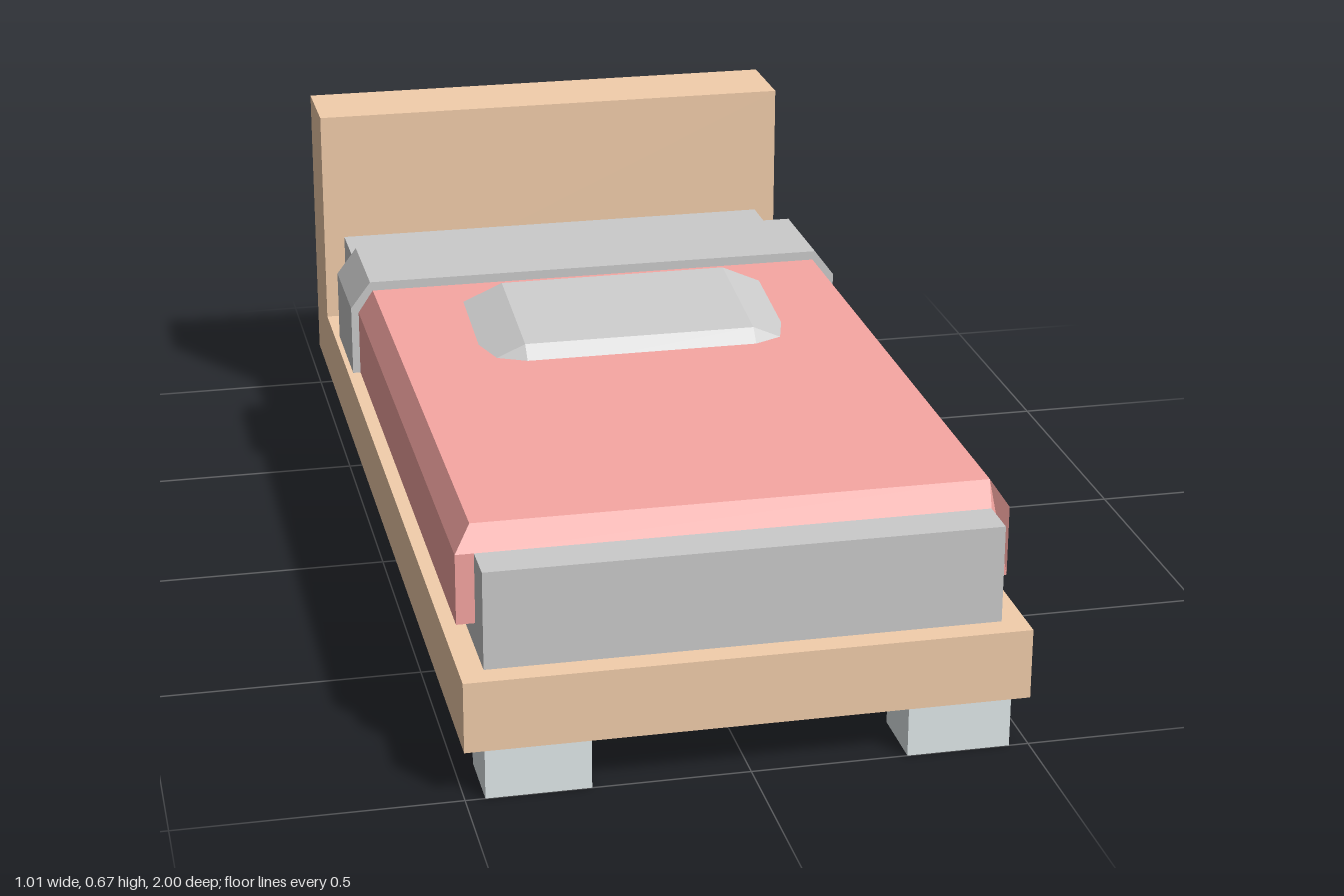
import * as THREE from 'three';
import { ConvexGeometry } from 'three/addons/geometries/ConvexGeometry.js';

const mat = (color) => new THREE.MeshStandardMaterial({ color, flatShading: true });
const wood = mat(0xf3ceab), red = mat(0xf8a7a3), metal = mat(0xe2ebec), grey = mat(0xcccccc);

const MATTRESS_W = 0.457, MATTRESS_TOP = 0.4;

function add(group, name, geometry, material) {
  const mesh = new THREE.Mesh(geometry, material);
  mesh.name = name;
  group.add(mesh);
  return mesh;
}

// Box given by its lower and upper corners
function boxBetween([x0, y0, z0], [x1, y1, z1]) {
  return new THREE.BoxGeometry(x1 - x0, y1 - y0, z1 - z0)
    .translate((x0 + x1) / 2, (y0 + y1) / 2, (z0 + z1) / 2);
}

function extrude(points, depth) {
  const shape = new THREE.Shape(points.map(([x, y]) => new THREE.Vector2(x, y)));
  return new THREE.ExtrudeGeometry(shape, { depth, bevelEnabled: false });
}

// Cover draped over the mattress, with chamfered upper edges
function drape(halfWidth, shoulderY, topHalf, topY, hemY, zBack, zFront) {
  const right = [[MATTRESS_W, MATTRESS_TOP], [MATTRESS_W, hemY], [halfWidth, hemY], [halfWidth, shoulderY], [topHalf, topY]];
  const left = right.map(([x, y]) => [-x, y]).reverse();
  return extrude([...right, ...left], zFront - zBack).translate(0, 0, zBack);
}

export function createModel() {
  const bed = new THREE.Group();
  bed.name = 'bed';

  // Base and headboard as one L-shaped side profile
  const frame = extrude([[-1, 0.09], [1, 0.09], [1, 0.22], [-0.825, 0.22], [-0.825, 0.67], [-1, 0.67]], 1)
    .rotateY(-Math.PI / 2).translate(0.5, 0, 0);
  add(bed, 'frame', frame, wood);

  // Feet
  for (const side of [-1, 1]) {
    for (const [name, z0, z1] of [['frontFoot', 0.87, 1], ['backFoot', -1, -0.825]]) {
      const foot = boxBetween([-0.0925, 0, z0], [0.0925, 0.09, z1]);
      add(bed, name, foot, metal).position.x = side * 0.3725;
    }
  }

  add(bed, 'mattress', boxBetween([-MATTRESS_W, 0.22, -0.825], [MATTRESS_W, MATTRESS_TOP, 0.955]), grey);

  // Blanket, its top front edge pulled back into a bevel
  const blanket = drape(0.49, 0.4, 0.46, 0.445, 0.27, -0.345, 0.875);
  const p = blanket.attributes.position;
  for (let i = 0; i < p.count; i++) {
    if (p.getY(i) > 0.42 && p.getZ(i) > 0.8) p.setZ(i, 0.85);
  }
  blanket.computeVertexNormals();
  add(bed, 'blanket', blanket, red);

  // Folded sheet at the head end of the blanket
  add(bed, 'sheetFold', drape(0.505, 0.41, 0.465, 0.463, 0.27, -0.563, -0.345), grey);

  // Cushion: flat faces tapering to a thin octagonal rim
  const corners = [];
  for (const sx of [-1, 1]) {
    for (const sz of [-1, 1]) {
      for (const [x, y, z] of [[0.225, 0.036, 0.13], [0.225, -0.036, 0.13], [0.225, 0, 0.175], [0.302, 0, 0.13]]) {
        corners.push(new THREE.Vector3(sx * x, y, sz * z));
      }
    }
  }
  const cushion = add(bed, 'cushion', new ConvexGeometry(corners), grey);
  cushion.position.set(0, 0.452, -0.045);
  cushion.rotation.x = 0.134;

  return bed;
}
